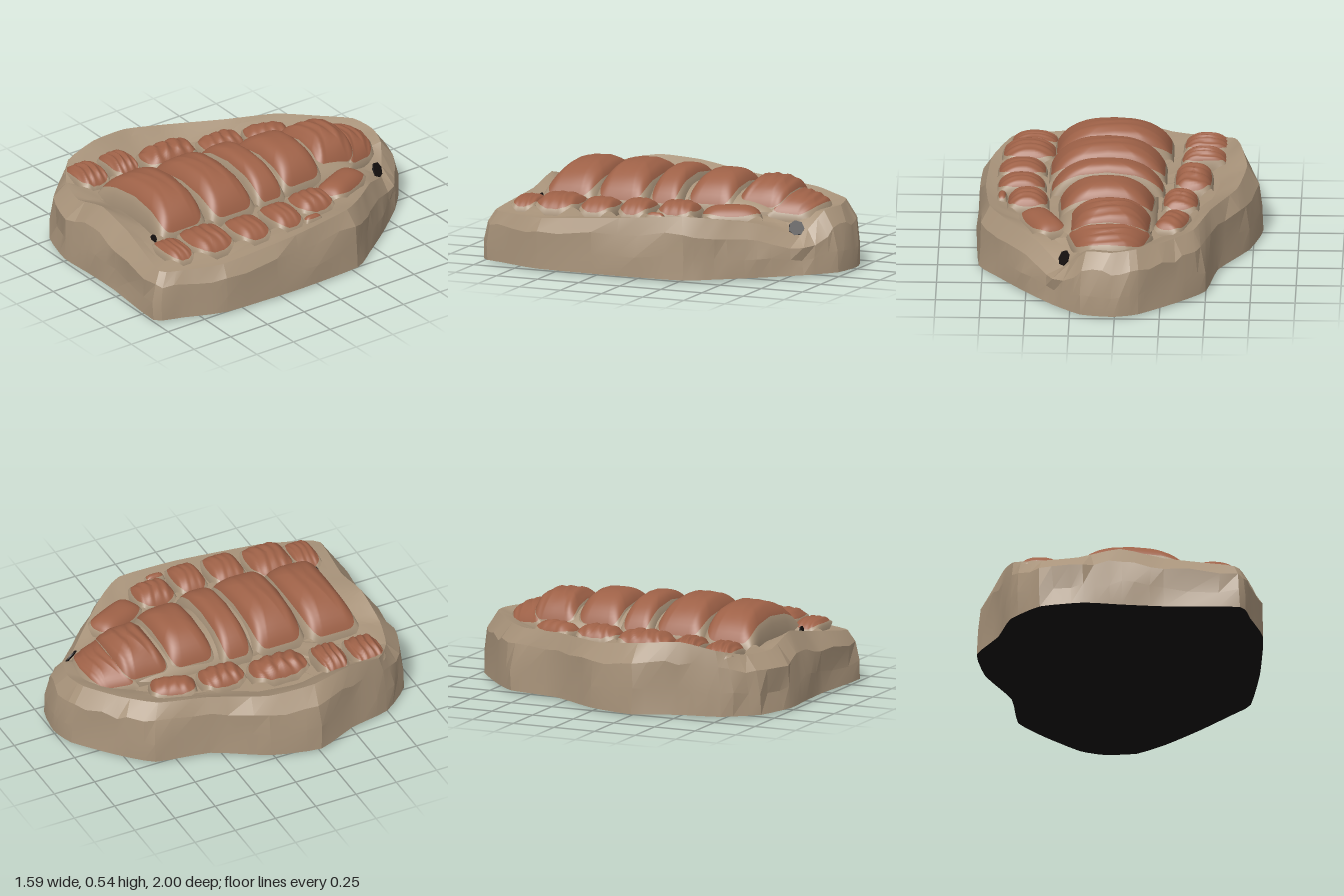
import * as THREE from 'three';
import { toCreasedNormals } from 'three/addons/utils/BufferGeometryUtils.js';

const material = (name, color) => Object.assign(new THREE.MeshStandardMaterial({ color }), { name });
const stone = material('stone', 0xa8937a);
const rust = material('rust', 0x9e6147);
const dark = material('dark', 0x15100f);
const V = (x, y, z) => new THREE.Vector3(x, y, z);

let seed = 7;
const rand = () => ((seed = (seed * 16807) % 2147483647) / 2147483647) - 0.5;

// Skin a list of equal-length closed rings, ordered outside to inside.
function loft(rings) {
  const n = rings[0].length, index = [];
  for (let r = 0; r < rings.length - 1; r++) {
    for (let i = 0; i < n; i++) {
      const a = r * n + i, b = r * n + (i + 1) % n;
      index.push(a, a + n, b, b, a + n, b + n);
    }
  }
  const g = new THREE.BufferGeometry().setFromPoints(rings.flat());
  g.setIndex(index);
  g.computeVertexNormals();
  return g;
}

function add(parent, name, geometry, mat) {
  const m = new THREE.Mesh(geometry, mat);
  m.name = name;
  parent.add(m);
  return m;
}

// Foot outline: x, z at the ground, then x, y, z of the upper rim.
const outline = [
  [0.01, -1, 0.02, 0.36, -0.91], [0.19, -0.97, 0.16, 0.35, -0.87],
  [0.35, -0.83, 0.29, 0.22, -0.78], [0.52, -0.63, 0.44, 0.3, -0.6],
  [0.67, -0.43, 0.6, 0.34, -0.42], [0.77, -0.28, 0.71, 0.36, -0.25],
  [0.79, 0.13, 0.74, 0.33, 0.12], [0.77, 0.61, 0.72, 0.29, 0.6],
  [0.68, 0.85, 0.65, 0.29, 0.82], [0.61, 1, 0.58, 0.29, 0.94],
  [0.19, 0.975, 0.2, 0.35, 0.88], [-0.05, 0.98, -0.05, 0.4, 0.88],
  [-0.26, 0.99, -0.28, 0.34, 0.88], [-0.5, 0.92, -0.48, 0.34, 0.82],
  [-0.65, 0.74, -0.63, 0.38, 0.7], [-0.7, 0.5, -0.67, 0.42, 0.5],
  [-0.8, 0.26, -0.71, 0.4, 0.26], [-0.73, -0.02, -0.66, 0.37, 0],
  [-0.56, -0.31, -0.52, 0.37, -0.3], [-0.5, -0.62, -0.43, 0.36, -0.57],
  [-0.34, -0.79, -0.28, 0.36, -0.74], [-0.13, -0.96, -0.12, 0.37, -0.88],
];

function buildRock(group) {
  const N = outline.length * 3;
  const sample = pts => {
    const c = new THREE.CatmullRomCurve3(pts, true, 'catmullrom', 0.25);
    return Array.from({ length: N }, (_, i) => c.getPoint(i / N));
  };
  const foot = sample(outline.map(p => V(p[0], 0.012, p[1])));
  const rim = sample(outline.map(p => V(p[2], p[3], p[4])));

  // Chipped wall between the foot and the rim
  const wall = (t, inset, chip) => foot.map((f, i) => {
    const p = f.clone().lerp(rim[i], inset + 0.1 * Math.sin(i * 0.8 + t * 9));
    p.y = THREE.MathUtils.lerp(f.y, rim[i].y, t) + rand() * chip * 2;
    p.x += rand() * chip;
    p.z += rand() * chip;
    return p;
  });
  // Upper face sinking from the rim to the floor around the segments
  const inner = s => rim.map(p => V(
    0.04 + (p.x - 0.04) * s,
    THREE.MathUtils.lerp(0.31, p.y, Math.max(0, (s - 0.8) / 0.2)) + (s ? rand() * 0.01 : 0),
    p.z * s));
  const rings = [foot, wall(0.35, 0.08, 0.015), wall(0.72, 0.24, 0.015), rim,
    inner(0.94), inner(0.87), inner(0.8), inner(0.4), inner(0)];
  add(group, 'rock', toCreasedNormals(loft(rings), 0.25), stone);
  add(group, 'underside', loft([foot.map(() => V(0, 0, 0)), foot]), dark);
}

// Pillow-shaped segment: a stone margin around a rust crown of size w by d.
function pillow(group, name, o) {
  const { x, z, w, d, top, base = 0.28, turn = 0, bow = 0, wrinkle = 0, n = 5, plain = false,
    taper = 0, tilt = 0, marginX = 0.013, marginZ = 0.013 } = o;
  const N = 64, hw = w / 2 + marginX, hd = d / 2 + marginZ;
  const edge = (v, p) => Math.sign(v) * Math.abs(v) ** p;
  const ring = (kx, kz) => Array.from({ length: N }, (_, i) => {
    const a = i / N * Math.PI * 2;
    const u = kx * edge(Math.cos(a), 2 / n), v = kz * edge(Math.sin(a), 2 / n);
    const across = Math.max(0, 1 - Math.abs(u) ** 2.4) ** 0.5;
    const along = Math.max(0, 1 - Math.abs(v) ** 3.6) ** 0.42;
    const fold = wrinkle * Math.sin(v * 15 + Math.sin(u * 4 + x * 9));
    const height = (top - base) * (1 + tilt * v) + fold;
    return V(u * hw * (1 + taper * v), base + height * across * along, v * hd + bow * (u * u - 0.3));
  });
  const marginSteps = [0, 0.05, 0.2, 0.45, 0.7];
  const crownSteps = [1, 0.96, 0.91, 0.85, 0.78, 0.7, 0.6, 0.5, 0.4, 0.3, 0.2, 0.1, 0];
  const rings = [
    ...marginSteps.map(t => ring(1 - t * marginX / hw, 1 - t * marginZ / hd)),
    ...crownSteps.map(r => ring(r * (1 - marginX / hw), r * (1 - marginZ / hd))),
  ];
  const g = loft(rings), margin = marginSteps.length * N * 6;
  g.addGroup(0, margin, 0);
  g.addGroup(margin, Infinity, 1);
  const m = add(group, name, g, [stone, plain ? stone : rust]);
  m.position.set(x, 0, z);
  m.rotation.y = turn;
}

export function createModel() {
  const model = new THREE.Group();
  model.name = 'segmentedFossil';
  buildRock(model);

  // Stone ridge filling the grooves between the middle segments
  pillow(model, 'middleRidge', { x: 0.05, z: 0.02, w: 0.53, d: 1.3, top: 0.445, plain: true });

  // Middle row: x from, x to, z from, z to, top, bow, wrinkle, taper, tilt
  const middle = new THREE.Group();
  middle.name = 'middleSegments';
  model.add(middle);
  [
    [-0.17, 0.24, -0.81, -0.62, 0.42, 0.06, 0.004, 0.18, 0.25],
    [-0.185, 0.255, -0.655, -0.395, 0.505, 0.03, 0.005, 0.05, 0.04],
    [-0.2, 0.315, -0.365, -0.11, 0.525, 0.01, 0, 0.03, 0],
    [-0.25, 0.37, -0.06, 0.1, 0.53, 0, 0, 0, 0],
    [-0.255, 0.38, 0.145, 0.42, 0.54, 0, 0.002, 0, 0],
    [-0.285, 0.355, 0.45, 0.73, 0.525, 0.03, 0.002, 0, -0.03],
  ].forEach(([x0, x1, z0, z1, top, bow, wrinkle, taper, tilt], i) => pillow(middle, 'middleSegment' + (i + 1), {
    x: (x0 + x1) / 2, z: (z0 + z1) / 2, w: x1 - x0, d: z1 - z0,
    top, bow, wrinkle, taper, tilt, n: 7, marginZ: 0.026,
  }));

  // Side rows: x, z, width, depth, top, turn, wrinkle
  const rows = {
    right: [
      [-0.31, -0.42, 0.16, 0.25, 0.39, -0.3, 0.003],
      [-0.35, -0.14, 0.19, 0.25, 0.4, 0, 0.006],
      [-0.415, 0.18, 0.2, 0.33, 0.41, 0, 0.009],
      [-0.47, 0.47, 0.25, 0.16, 0.41, 0, 0.007],
      [-0.48, 0.68, 0.25, 0.18, 0.4, 0, 0.007],
    ],
    left: [
      [0.41, -0.42, 0.18, 0.32, 0.39, 0.43, 0],
      [0.5, -0.145, 0.22, 0.22, 0.41, 0, 0.004],
      [0.645, -0.06, 0.04, 0.1, 0.36, 0, 0],
      [0.54, 0.085, 0.26, 0.17, 0.41, 0, 0.002],
      [0.54, 0.315, 0.26, 0.19, 0.4, 0, 0.002],
      [0.505, 0.57, 0.29, 0.24, 0.4, 0, 0.004],
      [0.48, 0.775, 0.25, 0.14, 0.37, 0, 0.003],
    ],
  };
  for (const side in rows) {
    const row = new THREE.Group();
    row.name = side + 'Segments';
    model.add(row);
    rows[side].forEach(([x, z, w, d, top, turn, wrinkle], i) =>
      pillow(row, side + 'Segment' + (i + 1), { x, z, w, d, top, turn, wrinkle, n: 3 }));
  }

  // Small dark pits beside the first and last middle segments
  const pit = (name, x, y, z, size, dir) => {
    const m = add(model, name, new THREE.CylinderGeometry(size, size, 0.008, 7), dark);
    m.position.set(x, y, z);
    m.quaternion.setFromUnitVectors(V(0, 1, 0), dir.normalize());
  };
  pit('backPit', 0.285, 0.262, -0.757, 0.045, V(0.75, 0.45, -0.45));
  pit('frontPit', 0.31, 0.325, 0.785, 0.025, V(0, 0.15, 1));
  return model;
}
